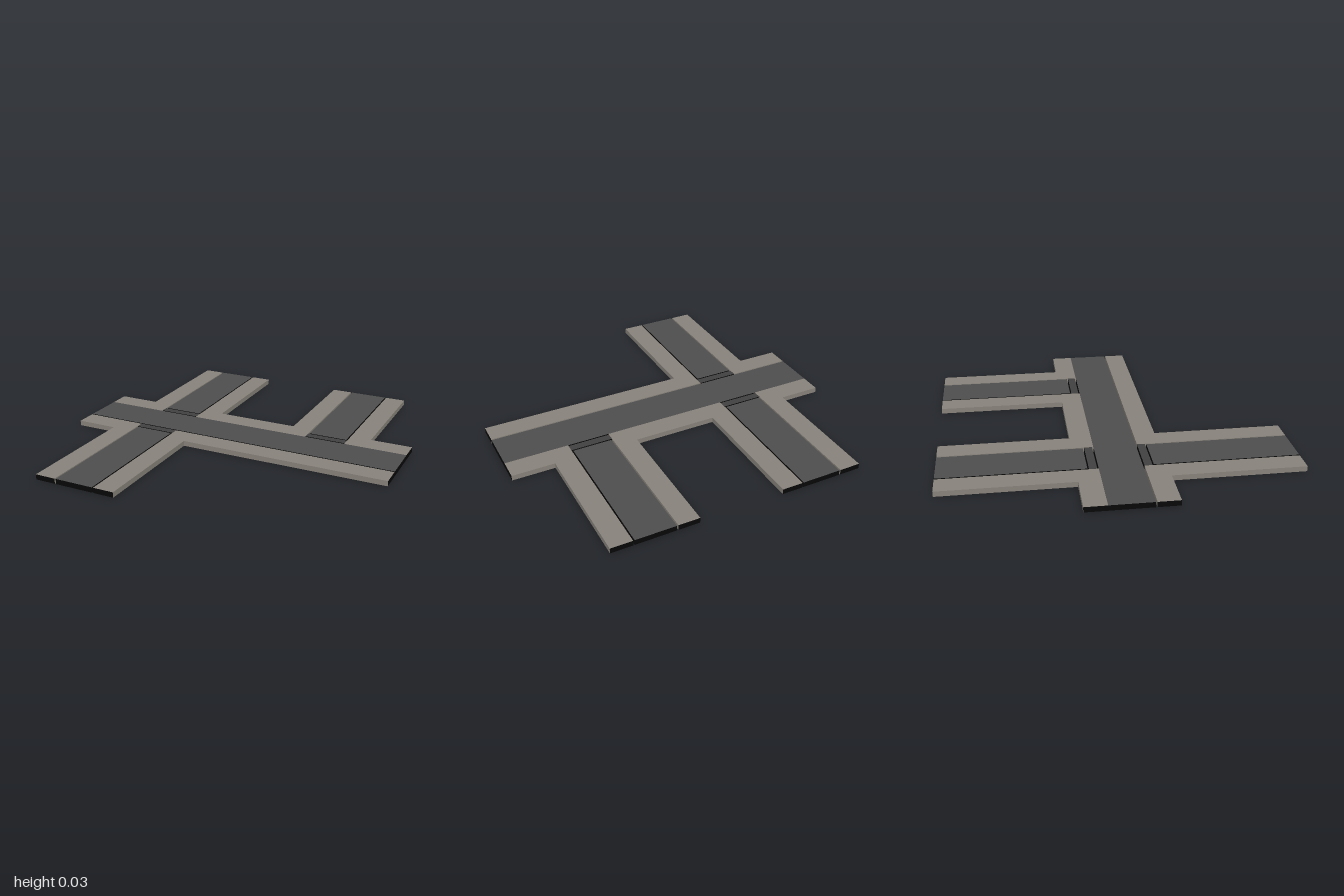
import * as THREE from 'three';

const H = 0.031; // slab thickness
const GAP = 0.008; // open joint between slabs

export function createModel() {
  const group = new THREE.Group();
  const mat = (name, color) => new THREE.MeshStandardMaterial({ name, color });
  const pavement = mat('pavement', 0x87827a);
  const asphalt = mat('asphalt', 0x4d4d4d);
  const crossing = mat('crossing', 0x424141);
  const dark = mat('dark edge', 0x070707);

  // Slab between two corners; materials ordered +x, -x, top, bottom, +z, -z
  const slab = (name, x0, x1, z0, z1, mats) => {
    const mesh = new THREE.Mesh(new THREE.BoxGeometry(x1 - x0, H, z1 - z0), mats);
    mesh.name = name;
    mesh.position.set((x0 + x1) / 2, H / 2, (z0 + z1) / 2);
    group.add(mesh);
  };

  // Main road along x
  slab('mainRoad', -1, 1, -0.125, 0.125 - GAP, [dark, dark, asphalt, asphalt, dark, dark]);

  // Pavement beside the main road, broken where side roads join
  const mainPavement = (name, spans, z0, z1, bottom) => {
    for (const [x0, x1] of spans) {
      slab(name, x0, x1, z0, z1, [
        x1 === 1 ? dark : pavement, x0 === -1 ? dark : pavement,
        pavement, bottom, pavement, pavement,
      ]);
    }
  };
  mainPavement('frontPavement', [[-1, -0.625], [-0.375, 1]], 0.125, 0.25, asphalt);
  mainPavement('backPavement', [[-1, -0.625], [-0.375, 0.375], [0.625, 1]], -0.25, -0.125, pavement);

  // Side road centred on x = cx, running to the front (s = 1) or back (s = -1)
  const sideRoad = (cx, s) => {
    const strip = (name, x0, x1, a, b, [sides, top, bottom, outer, inner]) =>
      slab(name, x0, x1, Math.min(s * a, s * b), Math.max(s * a, s * b),
        [sides, sides, top, bottom, s > 0 ? outer : inner, s > 0 ? inner : outer]);
    for (const side of [-1, 1]) {
      const e = [cx + side * 0.125, cx + side * 0.25].sort((p, q) => p - q);
      strip('sidePavement', e[0], e[1], 0.25, 1, [pavement, pavement, pavement, dark, pavement]);
    }
    const near = s > 0 ? 0.125 : 0.125 + GAP;
    const far = s > 0 ? 0.17 : 0.178;
    strip('crossing', cx - 0.125, cx + 0.125, near, far, [dark, crossing, dark, dark, dark]);
    strip('sideRoad', cx - 0.125 + GAP, cx + 0.125 - GAP, far + GAP, 1,
      [dark, asphalt, dark, dark, dark]);
  };
  sideRoad(-0.5, 1);
  sideRoad(-0.5, -1);
  sideRoad(0.5, -1);

  return group;
}
